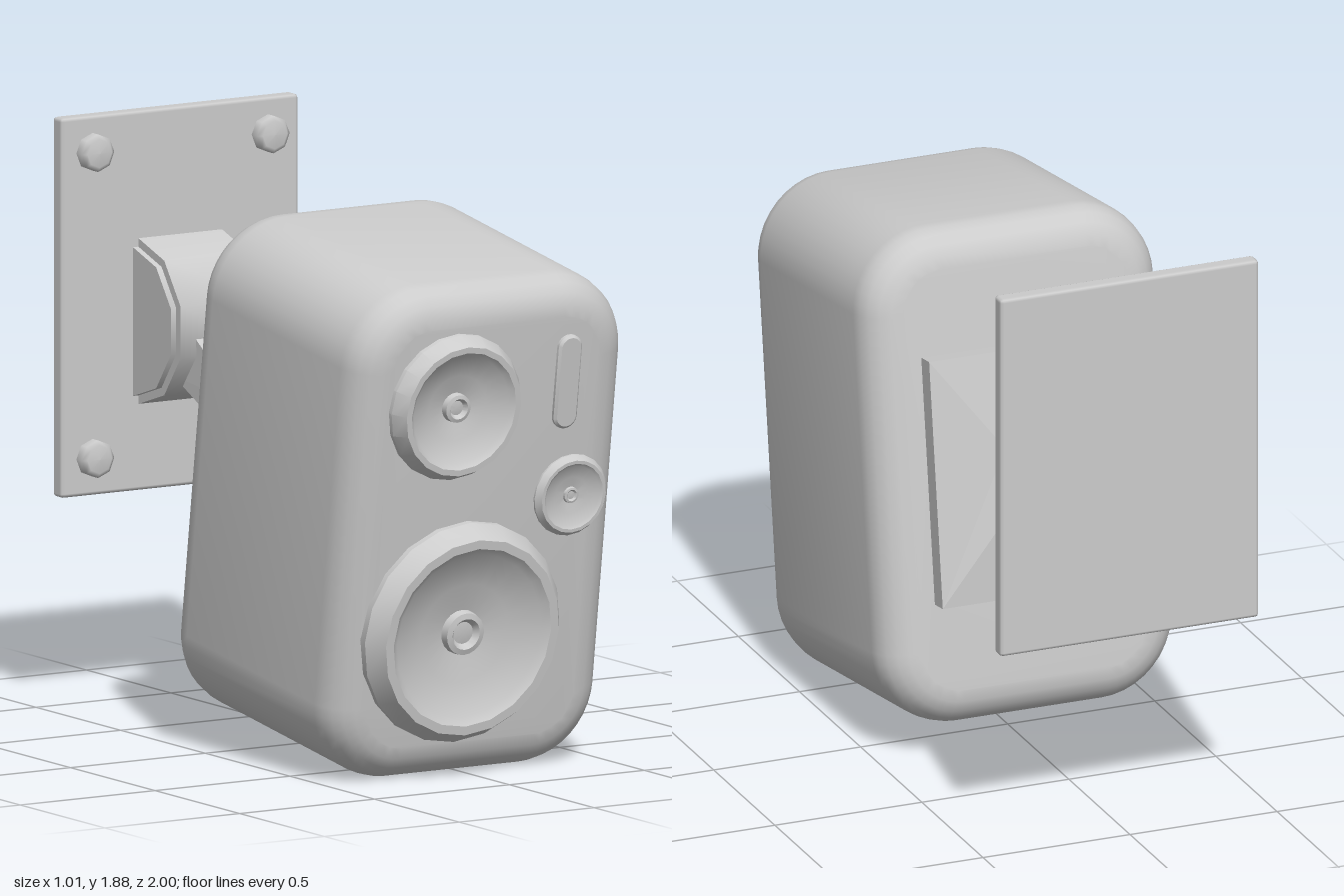
import * as THREE from 'three';
import { toCreasedNormals } from 'three/addons/utils/BufferGeometryUtils.js';
import { RoundedBoxGeometry } from 'three/addons/geometries/RoundedBoxGeometry.js';

const grey = new THREE.MeshStandardMaterial({ color: 0xcccccc });

function part(parent, name, geometry, x = 0, y = 0, z = 0) {
  const mesh = new THREE.Mesh(geometry, grey);
  mesh.name = name;
  mesh.position.set(x, y, z);
  parent.add(mesh);
  return mesh;
}

// Rounded rectangle centred on the origin
function roundedRect(hw, hh, r) {
  const s = new THREE.Shape();
  s.absarc(hw - r, hh - r, r, 0, Math.PI / 2);
  s.absarc(-hw + r, hh - r, r, Math.PI / 2, Math.PI);
  s.absarc(-hw + r, -hh + r, r, Math.PI, Math.PI * 1.5);
  s.absarc(hw - r, -hh + r, r, Math.PI * 1.5, Math.PI * 2);
  return s;
}

// Four-sided loft running towards -z; section = [half width, low y, low z, high y, high z]
function loft(sections) {
  const rings = sections.map(([w, y0, z0, y1, z1]) =>
    [[-w, y0, z0], [w, y0, z0], [w, y1, z1], [-w, y1, z1]]);
  const pos = [];
  const quad = (a, b, c, d) => pos.push(...a, ...b, ...c, ...a, ...c, ...d);
  for (let k = 0; k < rings.length - 1; k++) {
    const a = rings[k], b = rings[k + 1];
    for (let i = 0; i < 4; i++) {
      const j = (i + 1) % 4;
      quad(a[i], b[i], b[j], a[j]);
    }
  }
  const first = rings[0], last = rings[rings.length - 1];
  quad(...first);
  quad(last[3], last[2], last[1], last[0]);
  const g = new THREE.BufferGeometry();
  g.setAttribute('position', new THREE.Float32BufferAttribute(pos, 3));
  g.computeVertexNormals();
  return g;
}

// Speaker driver: raised rim, shallow cone and centre cap, facing +z
function driver(radius, height) {
  const profile = [
    [1, -0.6], [1, 0.25], [0.89, 1], [0.81, 1], [0.74, 0.75], [0.45, 0.38], [0.2, 0.16],
    [0.19, 0.5], [0.14, 0.55], [0.1, 0.32], [0, 0.38],
  ].map(([r, h]) => new THREE.Vector2(r * radius, h * height));
  const g = new THREE.LatheGeometry(profile, 20).rotateX(Math.PI / 2);
  return toCreasedNormals(g, 0.5);
}

// Ten-sided barrel across x, from angle start over the given sides
function barrel(radius, width, start = 0, sides = 10) {
  const g = new THREE.CylinderGeometry(radius, radius, width, sides, 1, false, start, sides * Math.PI / 5);
  return toCreasedNormals(g.rotateZ(Math.PI / 2), 0.7);
}

export function createModel() {
  const model = new THREE.Group();
  model.name = 'wallSpeaker';

  // Speaker box, tipped forward
  const box = new THREE.Group();
  box.name = 'speakerBox';
  box.rotation.x = 0.139;
  model.add(box);

  const bevel = 0.12, face = 0.73;
  const cabinet = new THREE.ExtrudeGeometry(roundedRect(0.505 - bevel, 0.806 - bevel, 0.14), {
    depth: 1 - 2 * bevel, bevelEnabled: true, bevelSize: bevel, bevelThickness: bevel,
    bevelSegments: 5, curveSegments: 5,
  });
  part(box, 'cabinet', toCreasedNormals(cabinet, 0.7), 0, 0.894, -0.27 + bevel);

  // Drivers and port on the front face
  part(box, 'upperDriver', driver(0.238, 0.065), -0.15, 1.323, face);
  part(box, 'lowerDriver', driver(0.36, 0.083), -0.065, 0.578, face);
  part(box, 'smallDriver', driver(0.133, 0.027), 0.31, 0.99, face);
  const port = new THREE.ExtrudeGeometry(roundedRect(0.035, 0.145, 0.034), {
    depth: 0.015, bevelEnabled: true, bevelSize: 0.008, bevelThickness: 0.008,
    bevelSegments: 1, curveSegments: 4,
  });
  part(box, 'portSlot', toCreasedNormals(port, 0.6), 0.265, 1.367, face - 0.005);

  // Back bracket: plate, shallow pyramid and tapered stem
  part(box, 'backBracket', loft([
    [0.33, 0.5, -0.25, 1.303, -0.25],
    [0.33, 0.5, -0.335, 1.303, -0.335],
    [0.1, 0.786, -0.37, 0.995, -0.36],
    [0.06, 0.775, -0.54, 0.92, -0.54],
  ]));

  // Middle hinge
  part(model, 'hingeBarrel', barrel(0.138, 0.25), 0, 0.915, -0.455);
  part(model, 'hingeCaps', barrel(0.12, 0.285), 0, 0.915, -0.455);

  // Arm up to the wall joint
  part(model, 'arm', loft([
    [0.065, 0.89, -0.56, 1.0, -0.48],
    [0.105, 1.05, -0.82, 1.22, -0.74],
  ]));

  // Half-round wall joint
  part(model, 'wallJoint', barrel(0.265, 0.31, -Math.PI / 2, 5), 0, 1.21, -0.948);
  part(model, 'wallJointCaps', barrel(0.238, 0.35, -Math.PI / 2, 5), 0, 1.21, -0.948);

  // Wall plate with four bolts
  part(model, 'wallPlate', new RoundedBoxGeometry(0.88, 1.21, 0.055, 1, 0.012), 0, 1.275, -0.9725);
  for (const x of [-0.325, 0.325]) {
    for (const y of [0.79, 1.765]) {
      const profile = [[0.06, 0], [0.06, 0.035], [0.045, 0.045], [0, 0.048]]
        .map(([r, h]) => new THREE.Vector2(r, h));
      const bolt = new THREE.LatheGeometry(profile, 8).rotateX(Math.PI / 2);
      part(model, 'bolt', bolt, x, y, -0.947);
    }
  }
  return model;
}
